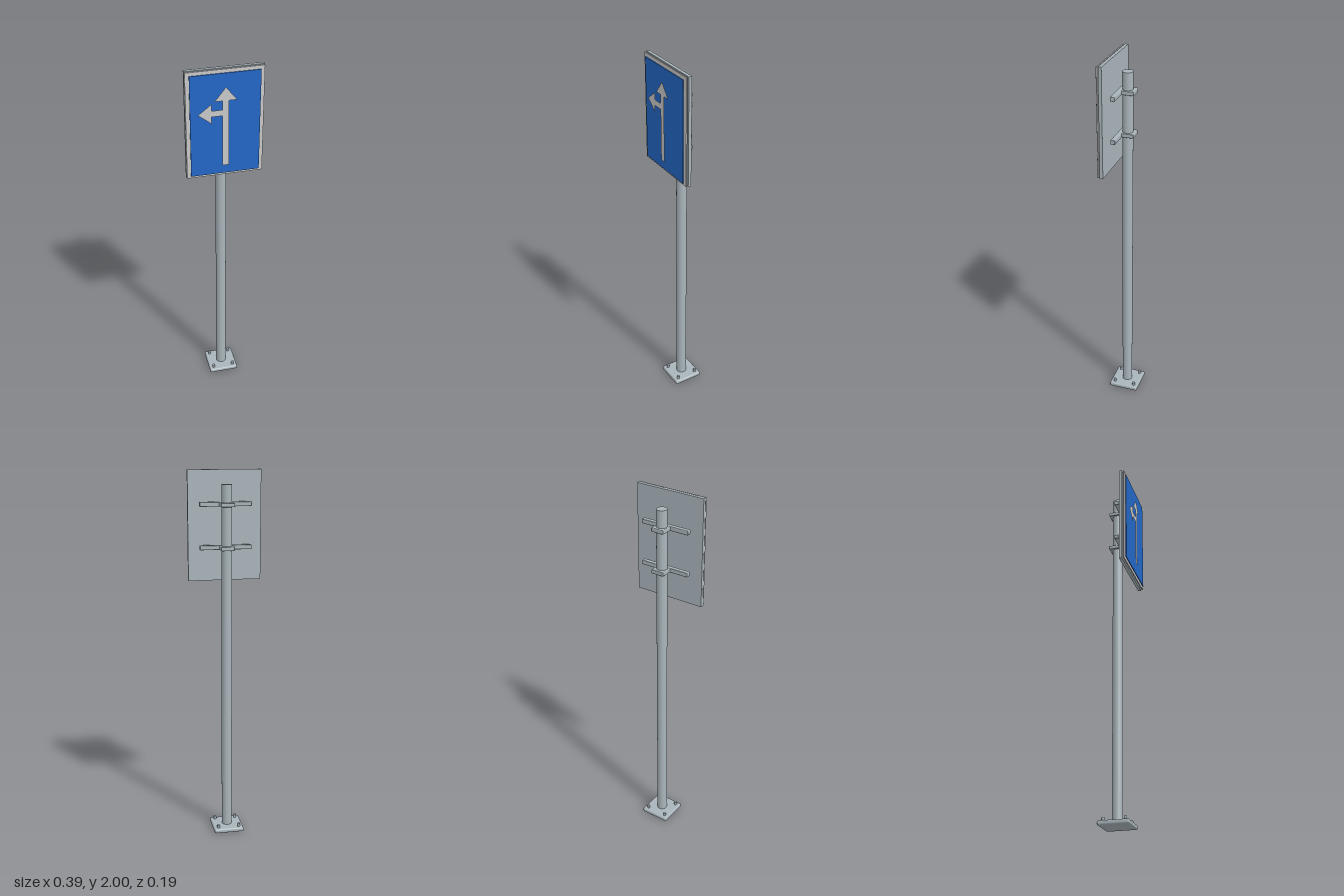
import * as THREE from 'three';
import { RoundedBoxGeometry } from 'three/addons/geometries/RoundedBoxGeometry.js';

const POLE_Z = -0.015;

export function createModel() {
  const root = new THREE.Group();
  const steel = new THREE.MeshStandardMaterial({ color: 0xa9b5bb });
  const white = new THREE.MeshStandardMaterial({ color: 0xcccccc, side: THREE.DoubleSide });
  const blue = new THREE.MeshStandardMaterial({ color: 0x2468c8 });

  const add = (name, geometry, material, x, y, z) => {
    const mesh = new THREE.Mesh(geometry, material);
    mesh.name = name;
    mesh.position.set(x, y, z);
    root.add(mesh);
    return mesh;
  };

  // Foot plate with four hexagonal bolts
  add('basePlate', new RoundedBoxGeometry(0.166, 0.024, 0.166, 3, 0.008), steel, 0, 0.012, POLE_Z);
  for (const sx of [-1, 1]) {
    for (const sz of [-1, 1]) {
      add('baseBolt', new THREE.CylinderGeometry(0.008, 0.008, 0.022, 6), steel,
        sx * 0.058, 0.031, POLE_Z + sz * 0.058);
    }
  }

  // Round pole
  add('pole', new THREE.CylinderGeometry(0.028, 0.028, 1.91, 32), steel, 0, 0.972, POLE_Z);

  // Clamps around the pole, each carrying a cross rail
  for (const y of [1.6, 1.825]) {
    add('poleClamp', new RoundedBoxGeometry(0.072, 0.022, 0.078, 2, 0.004), steel, 0, y, -0.018);
    add('crossRail', new RoundedBoxGeometry(0.277, 0.024, 0.025, 2, 0.004), steel, 0, y, 0.018);
  }

  // Layered sign: backing, pale border sheet, blue face
  add('signBacking', new THREE.BoxGeometry(0.392, 0.58, 0.017), steel, -0.001, 1.71, 0.059);
  add('signBorder', new THREE.BoxGeometry(0.388, 0.576, 0.006), white, -0.001, 1.71, 0.0765);
  add('signFace', new THREE.BoxGeometry(0.35, 0.546, 0.004), blue, -0.001, 1.708, 0.085);

  // Straight-ahead arrow with a branch to the side, as one flat sheet
  const arrow = new THREE.Shape([
    [-0.016, 1.485], [0.016, 1.485], [0.016, 1.842], [0.056, 1.842],
    [0, 1.913], [-0.056, 1.842], [-0.016, 1.842], [-0.016, 1.795],
    [-0.07, 1.795], [-0.07, 1.832], [-0.138, 1.779], [-0.07, 1.726],
    [-0.07, 1.763], [-0.016, 1.763],
  ].map(([x, y]) => new THREE.Vector2(x, y)));
  add('directionArrow', new THREE.ShapeGeometry(arrow), white, -0.001, 0, 0.096);

  return root;
}
